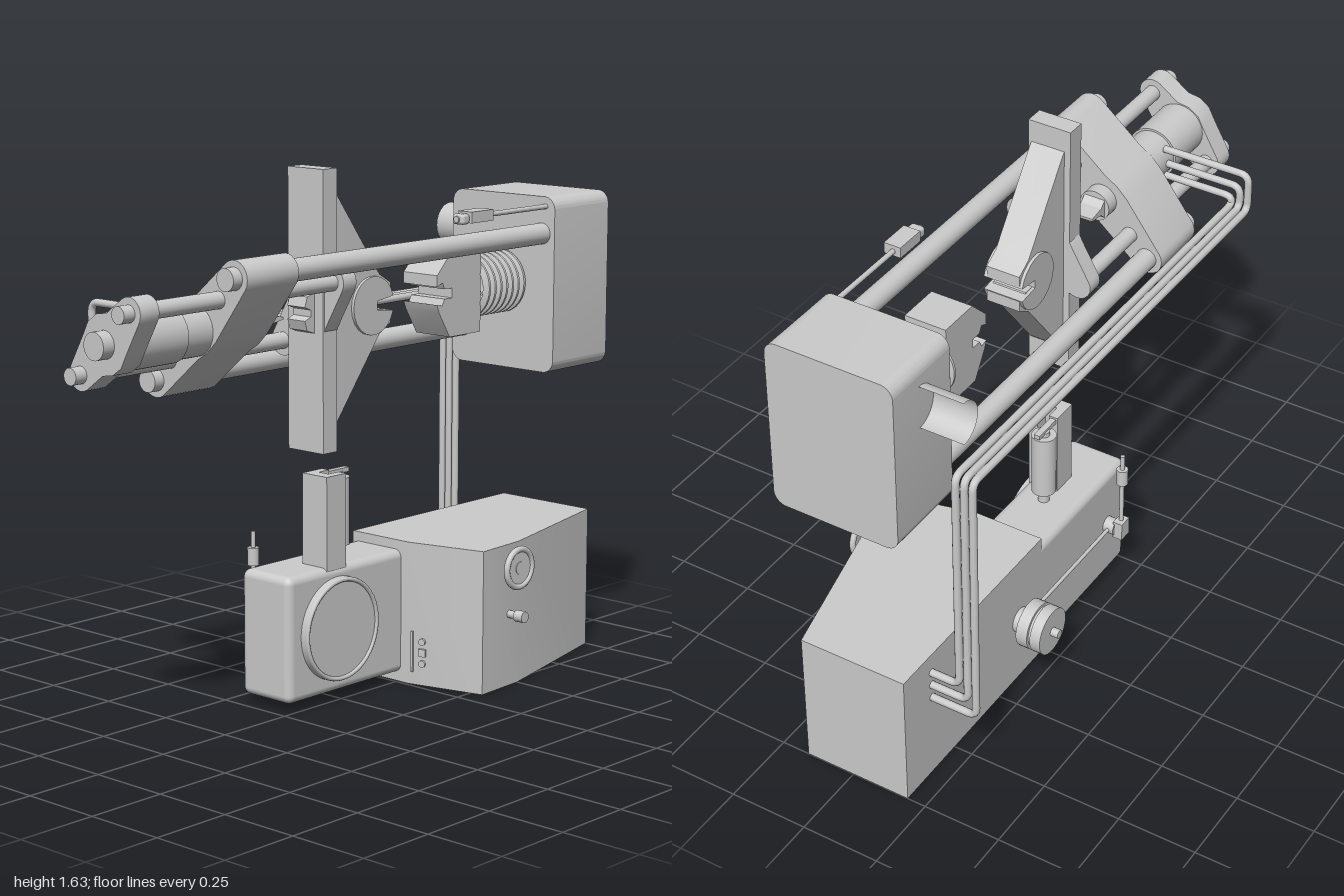
import * as THREE from 'three';
import { toCreasedNormals } from 'three/addons/utils/BufferGeometryUtils.js';
import { RoundedBoxGeometry } from 'three/addons/geometries/RoundedBoxGeometry.js';

export function createModel() {
  const root = new THREE.Group();
  const mat = new THREE.MeshStandardMaterial({ color: 0xcccccc, side: THREE.DoubleSide });
  const CX = 0.012, CY = 1.21; // main axis

  const add = (name, geo, x = 0, y = 0, z = 0) => {
    const m = new THREE.Mesh(geo, mat);
    m.name = name;
    m.position.set(x, y, z);
    root.add(m);
    return m;
  };
  // Box given by its min and max on every axis
  const box = (name, x0, x1, y0, y1, z0, z1, r = 0) => add(name,
    r ? new RoundedBoxGeometry(x1 - x0, y1 - y0, z1 - z0, 4, r) : new THREE.BoxGeometry(x1 - x0, y1 - y0, z1 - z0),
    (x0 + x1) / 2, (y0 + y1) / 2, (z0 + z1) / 2);
  // Cylinders along each axis
  const cylX = (name, r, x0, x1, y, z, n = 32) =>
    add(name, new THREE.CylinderGeometry(r, r, x1 - x0, n).rotateZ(Math.PI / 2), (x0 + x1) / 2, y, z);
  const cylY = (name, r, x, y0, y1, z, n = 24) =>
    add(name, new THREE.CylinderGeometry(r, r, y1 - y0, n), x, (y0 + y1) / 2, z);
  const cylZ = (name, r, x, y, z0, z1, n = 32) =>
    add(name, new THREE.CylinderGeometry(r, r, z1 - z0, n).rotateX(Math.PI / 2), x, y, (z0 + z1) / 2);
  const polygon = pts => new THREE.Shape(pts.map(p => new THREE.Vector2(p[0], p[1])));
  const extrude = (shape, depth) => toCreasedNormals(
    new THREE.ExtrudeGeometry(shape, { depth, bevelEnabled: false, curveSegments: 10 }), 0.5);
  // Side profile of [z, y] points, extruded along x
  const sideProfile = (name, pts, x0, x1) =>
    add(name, extrude(polygon(pts.map(([z, y]) => [-z, y])), x1 - x0).rotateY(Math.PI / 2), x0);
  // Plan of [x, z] points, extruded along y
  const plan = (name, pts, y0, y1) =>
    add(name, extrude(polygon(pts.map(([x, z]) => [x, -z])), y1 - y0).rotateX(-Math.PI / 2), 0, y0);

  // Lower cabinet with a tapered right side
  plan('cabinet', [[-0.19, -0.26], [0.04, -0.26], [0.29, -0.32], [0.28, -0.5], [0.16, -1], [-0.19, -1]], 0, 0.45);
  const panel = new THREE.Group();
  panel.name = 'controlPanel';
  panel.position.set(0.09, 0, -0.27);
  panel.rotation.y = 0.235;
  const strip = new THREE.Mesh(new THREE.BoxGeometry(0.006, 0.13, 0.01), mat);
  strip.position.set(-0.035, 0.105, 0);
  panel.add(strip);
  [0.07, 0.105, 0.14].forEach((y, i) => {
    const b = new THREE.Mesh(i === 1 ? new THREE.BoxGeometry(0.024, 0.024, 0.012)
      : new THREE.CylinderGeometry(0.011, 0.011, 0.012, 16).rotateX(Math.PI / 2), mat);
    b.position.y = y;
    panel.add(b);
  });
  root.add(panel);

  // Handwheel and knob on the cabinet's side
  cylX('handwheelShaft', 0.02, 0.27, 0.325, 0.38, -0.455);
  add('handwheelRim', new THREE.TorusGeometry(0.059, 0.01, 10, 36).rotateY(Math.PI / 2), 0.32, 0.38, -0.455);
  cylX('handwheelDisc', 0.058, 0.316, 0.323, 0.38, -0.455);
  cylX('knobStem', 0.012, 0.27, 0.345, 0.228, -0.455, 20);
  cylX('knob', 0.018, 0.312, 0.345, 0.228, -0.455, 20);

  // Front drive housing with its round cover
  box('driveHousing', -0.19, 0.01, 0.03, 0.42, -0.32, 0.24, 0.025);
  cylX('coverDisc', 0.16, 0, 0.03, 0.23, 0.028, 48);
  add('coverRim', new THREE.TorusGeometry(0.153, 0.007, 8, 48).rotateY(Math.PI / 2), 0.03, 0.23, 0.028);

  // Channel column and the cylinder standing behind it
  plan('column', [[-0.095, 0.07], [0.005, 0.07], [0.005, -0.015], [-0.025, -0.015], [-0.025, 0.03],
    [-0.065, 0.03], [-0.065, -0.015], [-0.095, -0.015]], 0.4, 0.7);
  cylY('columnCylinder', 0.038, -0.08, 0.46, 0.67, -0.068);
  cylY('columnRod', 0.018, -0.08, 0.4, 0.685, -0.068);
  box('cylinderBracket', -0.09, -0.07, 0.68, 0.694, -0.11, 0.03);

  // Pulley, link rod and lever on the left side
  cylX('pulleyAxle', 0.014, -0.33, -0.18, 0.23, -0.385);
  [[-0.305, -0.27], [-0.26, -0.222]].forEach(([a, b]) => cylX('pulleyFlange', 0.075, a, b, 0.23, -0.385));
  cylX('pulleyCore', 0.066, -0.28, -0.25, 0.23, -0.385);
  cylX('pulleyHub', 0.04, -0.215, -0.185, 0.225, -0.385);
  cylZ('linkRod', 0.006, -0.207, 0.23, -0.37, 0.14, 12);
  cylX('leverPivot', 0.026, -0.225, -0.185, 0.23, 0.13, 24);
  box('leverBlock', -0.252, -0.22, 0.2, 0.26, 0.115, 0.16);
  cylY('leverRod', 0.007, -0.235, 0.25, 0.46, 0.14, 16);
  cylY('leverGrip', 0.018, -0.235, 0.405, 0.46, 0.14);
  cylY('leverTip', 0.007, -0.235, 0.45, 0.51, 0.14, 16);

  // Head block
  const hr = 0.04, hx = 0.205, hy = 0.275, head = new THREE.Shape();
  [[hx - hr, hy - hr, 0], [hr - hx, hy - hr, 1], [hr - hx, hr - hy, 2], [hx - hr, hr - hy, 3]].forEach(([x, y, q]) =>
    head.absarc(x, y, hr, q * Math.PI / 2, (q + 1) * Math.PI / 2));
  add('headBlock', extrude(head, 0.27), 0.015, CY, -1);
  add('sideShell', new THREE.CylinderGeometry(0.068, 0.068, 0.15, 32, 1, true, -Math.PI / 2, Math.PI)
    .rotateZ(Math.PI / 2), -0.255, 1.348, -0.88);

  // Sensor on a rod
  cylZ('sensorRod', 0.008, 0.185, 1.455, -0.75, -0.42, 12);
  box('sensorBody', 0.16, 0.215, 1.44, 1.474, -0.44, -0.34);
  box('sensorTip', 0.165, 0.21, 1.437, 1.469, -0.34, -0.305, 0.01);
  cylZ('sensorLens', 0.01, 0.187, 1.453, -0.32, -0.3, 16);

  // Bellows
  const rings = [new THREE.Vector2(0.08, 0)];
  for (let i = 0; i < 7; i++) {
    const y = i * 0.028;
    rings.push(new THREE.Vector2(0.08, y + 0.003), new THREE.Vector2(0.1, y + 0.01),
      new THREE.Vector2(0.1, y + 0.018), new THREE.Vector2(0.08, y + 0.025));
  }
  add('bellows', toCreasedNormals(new THREE.LatheGeometry(rings, 36).rotateX(Math.PI / 2), 0.6), CX, CY, -0.735);

  // Rear jaw block, open towards the front
  sideProfile('rearJaw', [[-0.545, 1.075], [-0.545, 1.34], [-0.41, 1.34], [-0.34, 1.27], [-0.34, 1.235], [-0.365, 1.245],
    [-0.375, 1.225], [-0.41, 1.225], [-0.41, 1.195], [-0.375, 1.195], [-0.365, 1.175], [-0.34, 1.18],
    [-0.35, 1.155], [-0.40, 1.075]], -0.055, 0.08);

  // Moving plate with tapered gusset, pivot boss and notched jaw
  box('movingPlate', -0.06, 0.08, 0.795, 1.63, 0.105, 0.165);
  sideProfile('gusset', [[0.11, 0.865], [0.11, 1.565], [0.095, 1.55], [-0.09, 1.3], [-0.14, 1.27], [-0.14, 1.235],
    [-0.115, 1.24], [-0.105, 1.222], [-0.065, 1.222], [-0.065, 1.196], [-0.105, 1.196], [-0.115, 1.178],
    [-0.14, 1.185], [-0.14, 1.15], [-0.09, 1.12], [0.095, 0.88]], -0.04, 0.07);
  const boss = new THREE.Shape();
  boss.absarc(0.055, CY, 0.088, 0.25, Math.PI * 2 - 0.25);
  boss.lineTo(0.07, 1.196);
  boss.lineTo(0.07, 1.222);
  add('pivotBoss', extrude(boss, 0.13).rotateY(Math.PI / 2), -0.05);
  sideProfile('frontHook', [[0.165, 1.15], [0.195, 1.16], [0.205, 1.19], [0.18, 1.2], [0.18, 1.22],
    [0.205, 1.23], [0.195, 1.26], [0.165, 1.27]], -0.025, 0.045);

  // Slanted plates, point-symmetric about the main axis
  const slanted = (name, half, z0, z1) => {
    const pts = [...half, ...half.map(([x, y]) => [-x, -y])];
    return add(name, extrude(polygon(pts), z1 - z0), CX, CY, z0);
  };
  // Rounded lobe followed by the shoulder on its left
  const lobe = (x, y, r, shoulder) => {
    const pts = [];
    for (let i = 0; i <= 10; i++) {
      const a = -0.55 + i * 0.268;
      pts.push([x + r * Math.cos(a), y + r * Math.sin(a)]);
    }
    return [...pts, ...shoulder];
  };
  const small = lobe(0.098, 0.095, 0.046, [[0.01, 0.088], [-0.03, 0.082], [-0.065, 0.058], [-0.085, 0.02]]);
  slanted('clampPlate', lobe(0.158, 0.16, 0.052, [[-0.01, 0.085], [-0.05, 0.06], [-0.085, 0.025]]), 0.415, 0.62);
  slanted('endPlate', small, 0.89, 0.96);
  slanted('guidePlate', small, 0.105, 0.16);

  // Guide bars: two thick ones to the head, two thin ones to the moving plate
  for (const s of [1, -1]) {
    cylZ('tieBar', 0.033, CX + s * 0.158, CY + s * 0.16, -0.75, 0.655);
    cylZ('pushBar', 0.025, CX + s * 0.098, CY + s * 0.095, 0.11, 1.0);
  }

  // Hydraulic cylinder, centre bolt and wedge nozzle
  cylZ('cylinderNeck', 0.075, CX, CY, 0.61, 0.73);
  cylZ('cylinderBody', 0.082, CX, CY, 0.72, 0.89);
  cylZ('centreBolt', 0.04, CX, CY, 0.88, 1.0);
  cylZ('nozzleBase', 0.05, CX, CY, 0.37, 0.42);
  sideProfile('nozzleWedge', [[0.375, 1.175], [0.375, 1.245], [0.35, 1.222], [0.297, 1.214], [0.297, 1.206], [0.35, 1.198]], -0.023, 0.047);

  // Three bent pipes from the cabinet to the hydraulic cylinder
  [[-0.34, 0.29, 1.262], [-0.313, 0.338, 1.213], [-0.285, 0.385, 1.17]].forEach(([x, y0, y1], i) => {
    const z = -0.86, zf = 0.685;
    const pts = [[-0.17, y0, z], [x, y0, z], [x, 1.14, z], [x, 1.14, zf], [x, y1, zf], [-0.05, y1, zf]]
      .map(p => new THREE.Vector3(...p));
    const path = new THREE.CurvePath();
    let last = pts[0];
    for (let k = 1; k < pts.length - 1; k++) {
      const p = pts[k];
      const toward = q => p.clone().addScaledVector(q.clone().sub(p).normalize(), Math.min(0.03, p.distanceTo(q) * 0.45));
      const a = toward(pts[k - 1]), b = toward(pts[k + 1]);
      path.add(new THREE.LineCurve3(last, a));
      path.add(new THREE.QuadraticBezierCurve3(a, p, b));
      last = b;
    }
    path.add(new THREE.LineCurve3(last, pts[pts.length - 1]));
    add('pipe' + (i + 1), new THREE.TubeGeometry(path, 400, 0.012, 10));
  });

  return root;
}
